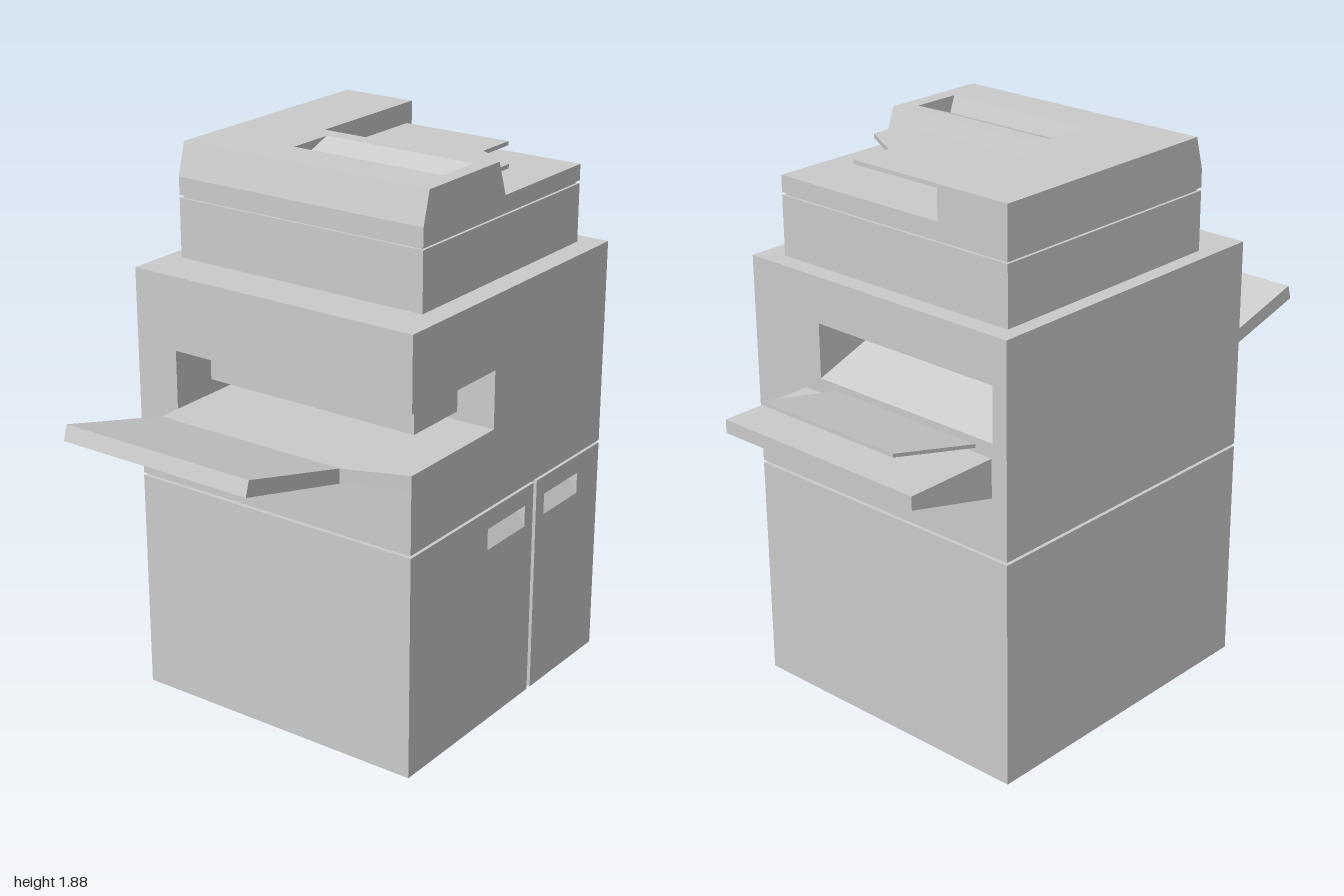
import * as THREE from 'three';

const material = new THREE.MeshStandardMaterial({ color: 0xcccccc });

const toShape = (pts) => new THREE.Shape(pts.map(([x, y]) => new THREE.Vector2(x, y)));

function add(parent, name, geometry) {
  const mesh = new THREE.Mesh(geometry, material);
  mesh.name = name;
  parent.add(mesh);
  return mesh;
}

function box(parent, name, x0, x1, y0, y1, z0, z1) {
  const g = new THREE.BoxGeometry(x1 - x0, y1 - y0, z1 - z0);
  return add(parent, name, g.translate((x0 + x1) / 2, (y0 + y1) / 2, (z0 + z1) / 2));
}

// Front outline (x, y) swept from z0 to z1
function sweep(parent, name, shape, z0, z1) {
  const g = new THREE.ExtrudeGeometry(shape, { depth: z1 - z0, bevelEnabled: false });
  return add(parent, name, g.translate(0, 0, z0));
}

// Floor plan (x, z) with its top at yTop
function slab(parent, name, plan, yTop, thickness) {
  const g = new THREE.ExtrudeGeometry(toShape(plan), { depth: thickness, bevelEnabled: false });
  return add(parent, name, g.rotateX(Math.PI / 2).translate(0, yTop, 0));
}

// Side outline (z, y) swept from x0 to x1
function sidePrism(parent, name, pts, x0, x1) {
  const g = new THREE.ExtrudeGeometry(toShape(pts.map(([z, y]) => [-z, y])), { depth: x1 - x0, bevelEnabled: false });
  return add(parent, name, g.rotateY(Math.PI / 2).translate(x0, 0, 0));
}

function group(parent, name) {
  const g = new THREE.Group();
  g.name = name;
  parent.add(g);
  return g;
}

export function createModel() {
  const model = new THREE.Group();
  model.name = 'photocopier';
  const L = -0.475, R = 0.66, F = 0.54, B = -0.54;

  // Cabinet with two doors, each with a wedge-shaped grip
  const cabinet = group(model, 'cabinet');
  const doorBack = 0.5;
  box(cabinet, 'cabinetCore', L, R, 0, 0.775, B, doorBack);
  for (const [x0, x1, h0, h1] of [[L, 0.235, -0.04, 0.185], [0.255, R, 0.305, 0.52]]) {
    const door = toShape([[x0, 0], [x1, 0], [x1, 0.775], [x0, 0.775]]);
    door.holes.push(toShape([[h0, 0.635], [h0, 0.71], [h1, 0.71], [h1, 0.635]]));
    sweep(cabinet, 'door', door, doorBack, F);
    sidePrism(cabinet, 'gripSlope', [[F, 0.635], [doorBack, 0.69], [doorBack, 0.635]], h0, h1);
    sidePrism(cabinet, 'gripCeiling', [[F, 0.71], [doorBack, 0.71], [doorBack, 0.69]], h0, h1);
  }
  box(model, 'cabinetSeam', L + 0.015, R - 0.015, 0.77, 0.79, B + 0.015, F - 0.015);

  // Main body in layers: output bay on one side, feed pocket on the other
  const body = group(model, 'mainBody');
  const bodyOutline = (bay, pocket) => toShape([
    [L, 0.785], [R, 0.785],
    ...(pocket ? [[R, 1.16], [0.36, 1.265], [R, 1.345]] : []),
    [R, 1.5], [L, 1.5],
    ...(bay ? [[L, 1.25], [-0.02, 1.25], [-0.02, 1.05], [L, 1.05]] : []),
  ]);
  for (const [z0, z1, bay, pocket] of [
    [B, -0.485, false, false], [-0.485, -0.38, false, true],
    [-0.38, 0.245, true, true], [0.245, F, true, false],
  ]) sweep(body, 'bodyLayer', bodyOutline(bay, pocket), z0, z1);
  box(body, 'exitUnit', -0.305, -0.065, 1.10, 1.25, -0.38, 0.43);

  // Output tray
  const output = group(model, 'outputTray');
  slab(output, 'outputTrayFoot', [[-0.555, -0.38], [L, -0.38], [L, 0.535], [-0.555, 0.33]], 1.05, 0.05);
  sweep(output, 'outputTrayPlate', toShape([[-0.555, 1.0], [-0.555, 1.05], [-0.985, 1.165], [-1, 1.115]]), -0.38, 0.33);

  // Feed trays: a wedge below and a thin sloping, tapered sheet above
  sweep(model, 'lowerFeedTray', toShape([[R, 0.98], [0.995, 1.065], [0.995, 1.11], [R, 1.11]]), -0.48, 0.315);
  const sheet = slab(model, 'upperFeedTray', [[R, -0.415], [0.985, -0.4], [0.985, 0.158], [R, 0.173]], 1.137, 0.012);
  const p = sheet.geometry.attributes.position;
  for (let i = 0; i < p.count; i++) p.setY(i, p.getY(i) + 0.24 * (p.getX(i) - R));
  sheet.geometry.computeVertexNormals();

  // Scanner base and seam
  const sL = -0.31, sR = 0.595, sF = 0.46, sB = -0.487;
  box(model, 'scannerBase', sL, sR, 1.5, 1.7, sB, sF);
  box(model, 'scannerSeam', sL + 0.01, sR - 0.01, 1.69, 1.72, sB + 0.01, sF - 0.01);

  // Document feeder lid in layers: corner step and sloping slot
  const lid = group(model, 'feederLid');
  const lidOutline = (step, slot) => toShape([
    [sL, 1.71], [sR, 1.71],
    ...(step ? [[sR, 1.765], [0.14, 1.765], [0.1, 1.88]] : [[sR, 1.88]]),
    ...(slot ? [[0.04, 1.88], [-0.11, 1.825], [-0.13, 1.88]] : []),
    [-0.28, 1.88], [sL, 1.77],
  ]);
  for (const [z0, z1, step, slot] of [
    [sB, -0.212, false, false], [-0.212, -0.16, true, false],
    [-0.16, 0.405, true, true], [0.405, sF, true, false],
  ]) sweep(lid, 'lidLayer', lidOutline(step, slot), z0, z1);
  slab(lid, 'documentTray', [
    [0.115, -0.157], [0.485, -0.157], [0.485, 0.25], [0.335, 0.25], [0.245, 0.403], [0.115, 0.403],
  ], 1.832, 0.014);

  return model;
}
